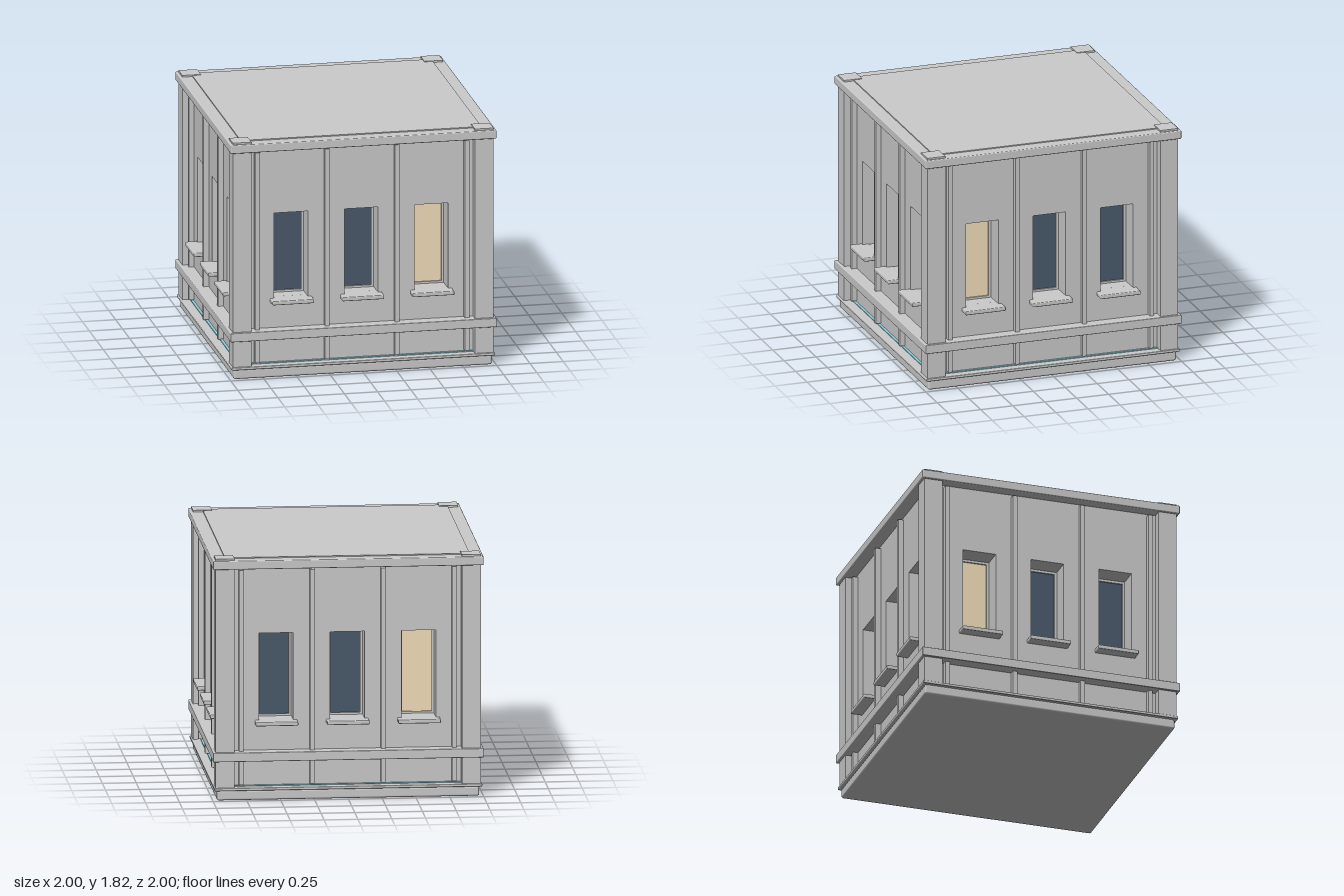
import * as THREE from 'three';
import { RoundedBoxGeometry } from 'three/addons/geometries/RoundedBoxGeometry.js';

const grey = new THREE.MeshStandardMaterial({ color: 0xcccccc });
const darkGlass = new THREE.MeshStandardMaterial({ color: 0x4a5a6b });
const litGlass = new THREE.MeshStandardMaterial({ color: 0xf5e0bb });
const glow = new THREE.MeshStandardMaterial({ color: 0x8fd0dc });

const WALL = 0.905;      // wall plane, measured from the centre
const GLASS = 0.735;     // recessed glass plane
const BAYS = [-0.527, 0, 0.527];
const SILL = 0.585, HEAD = 1.24, HALF = 0.127;

function add(parent, name, geometry, material, x = 0, y = 0, z = 0) {
  const mesh = new THREE.Mesh(geometry, material);
  mesh.name = name;
  mesh.position.set(x, y, z);
  parent.add(mesh);
  return mesh;
}

// Box given by its lower and upper limits, with optional softened edges
function block(parent, name, [x0, x1], [y0, y1], [z0, z1], radius = 0, material = grey) {
  const w = x1 - x0, h = y1 - y0, d = z1 - z0;
  const geometry = radius ? new RoundedBoxGeometry(w, h, d, 2, radius) : new THREE.BoxGeometry(w, h, d);
  return add(parent, name, geometry, material, (x0 + x1) / 2, (y0 + y1) / 2, (z0 + z1) / 2);
}

function rect(Type, x0, x1, y0, y1) {
  return new Type([[x0, y0], [x1, y0], [x1, y1], [x0, y1]].map(p => new THREE.Vector2(...p)));
}

function extrude(shape, depth) {
  return new THREE.ExtrudeGeometry(shape, { depth, bevelEnabled: false });
}

// One facade, built facing +z; litBay is the index of the lit window
function facade(name, litBay) {
  const side = new THREE.Group();
  side.name = name;

  // Wall with three deep openings
  const wall = rect(THREE.Shape, -0.89, 0.89, 0.08, 1.8);
  for (const x of BAYS) wall.holes.push(rect(THREE.Path, x - HALF, x + HALF, SILL, HEAD));
  add(side, 'wall', extrude(wall, WALL - 0.715), grey, 0, 0, 0.715);

  // Glass, frame and sill of each window
  BAYS.forEach((x, i) => {
    block(side, 'windowGlass', [x - HALF, x + HALF], [SILL, HEAD], [0.71, GLASS], 0,
      i === litBay ? litGlass : darkGlass);
    const frame = rect(THREE.Shape, x - HALF, x + HALF, SILL, HEAD);
    frame.holes.push(rect(THREE.Path, x - HALF + 0.018, x + HALF - 0.018, SILL + 0.015, HEAD - 0.018));
    add(side, 'windowFrame', extrude(frame, 0.012), grey, 0, 0, GLASS);
    block(side, 'windowSill', [x - 0.157, x + 0.157], [0.556, 0.587], [0.85, 0.992], 0.007);
  });

  // Vertical ribs between the bays
  for (const x of [-0.788, -0.263, 0.263, 0.788]) {
    block(side, 'rib', [x - 0.017, x + 0.017], [0.11, 1.72], [0.88, 0.945]);
  }

  // Light strip along the foot of the wall
  block(side, 'lightStrip', [-0.84, 0.84], [0.09, 0.102], [0.89, 0.925], 0, glow);
  return side;
}

export function createModel() {
  const model = new THREE.Group();
  model.name = 'buildingStorey';

  // Horizontal courses from the ground up
  block(model, 'plinth', [-0.97, 0.97], [0, 0.075], [-0.97, 0.97], 0.015);
  block(model, 'baseLedge', [-0.99, 0.99], [0.074, 0.096], [-0.99, 0.99], 0.006);
  block(model, 'beltCourse', [-1, 1], [0.294, 0.363], [-1, 1], 0.006);
  block(model, 'cornice', [-1, 1], [1.738, 1.803], [-1, 1], 0.008);
  block(model, 'roof', [-WALL, WALL], [1.79, 1.811], [-WALL, WALL]);

  // Solid interior behind the glass
  block(model, 'core', [-0.72, 0.72], [0.08, 1.79], [-0.72, 0.72]);

  // Corner pillars
  for (const sx of [-1, 1]) for (const sz of [-1, 1]) {
    const pillar = block(model, 'cornerPillar', [0.84, 0.98], [0.08, 1.816], [0.84, 0.98]);
    pillar.position.x *= sx;
    pillar.position.z *= sz;
  }

  // Four facades turned around the centre
  ['frontFacade', 'rightFacade', 'backFacade', 'leftFacade'].forEach((name, i) => {
    const side = facade(name, i % 2 ? 0 : 2);
    side.rotation.y = i * Math.PI / 2;
    model.add(side);
  });
  return model;
}
